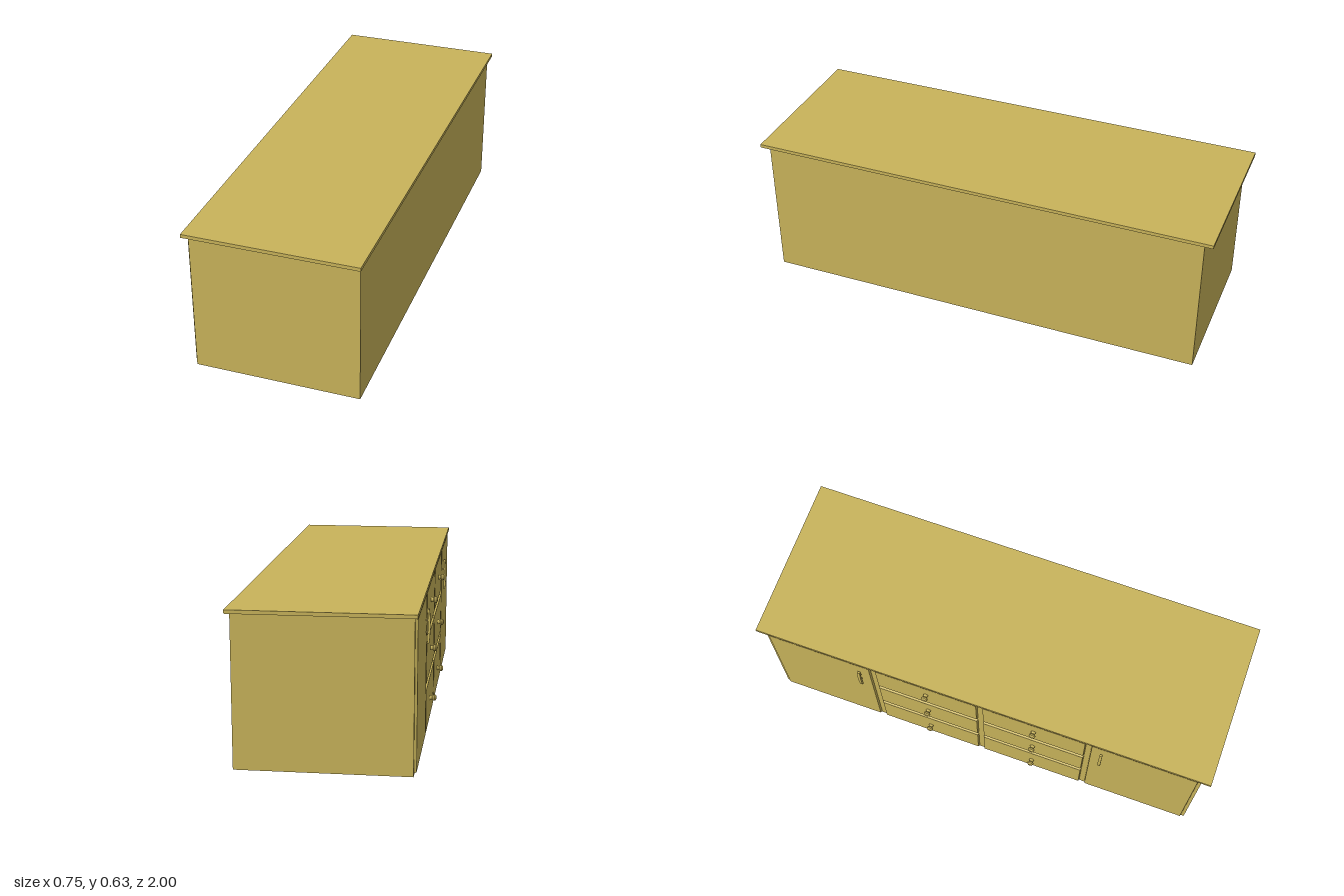
import * as THREE from 'three';

const material = new THREE.MeshStandardMaterial({ color: 0xc8b35a, side: THREE.DoubleSide, flatShading: true });

function add(parent, name, geometry, x = 0, y = 0, z = 0) {
  const mesh = new THREE.Mesh(geometry, material);
  mesh.name = name;
  mesh.position.set(x, y, z);
  parent.add(mesh);
  return mesh;
}

// Hollow raised panel, open at the back, with a slightly chamfered front
function panelGeometry(w, h, depth, inset) {
  const g = new THREE.BoxGeometry(w, h, depth);
  const p = g.attributes.position;
  for (let i = 0; i < p.count; i++) {
    if (p.getZ(i) > 0) {
      p.setX(i, p.getX(i) - Math.sign(p.getX(i)) * inset);
      p.setY(i, p.getY(i) - Math.sign(p.getY(i)) * inset);
    }
  }
  g.setIndex(Array.from(g.index.array).slice(0, 30));
  g.computeVertexNormals();
  return g.translate(0, 0, depth / 2);
}

// Bowed pull: side profile (outward, up) extruded across its width
function handleGeometry() {
  const s = new THREE.Shape();
  s.moveTo(0.006, -0.07);
  s.lineTo(0.014, -0.07);
  s.quadraticCurveTo(0.023, 0, 0.014, 0.07);
  s.lineTo(0.006, 0.07);
  s.quadraticCurveTo(0.011, 0, 0.006, -0.07);
  const g = new THREE.ExtrudeGeometry(s, { depth: 0.012, bevelEnabled: false, curveSegments: 8 });
  return g.translate(0, 0, -0.006).rotateY(-Math.PI / 2);
}

export function createModel() {
  const model = new THREE.Group();
  model.name = 'sideboard';
  const cabinet = new THREE.Group();
  cabinet.name = 'cabinet';
  cabinet.position.x = 0.009;
  cabinet.rotation.y = 0.0063;
  model.add(cabinet);

  const H = 0.617, halfDepth = 0.345, halfLength = 0.96, raise = 0.01;

  // Carcass: back and both ends, open below
  const carcass = new THREE.BoxGeometry(halfDepth * 2, H, halfLength * 2);
  const idx = Array.from(carcass.index.array);
  carcass.setIndex([...idx.slice(0, 6), ...idx.slice(24, 36)]);
  add(cabinet, 'carcass', carcass, 0, H / 2, 0);

  // Worktop
  add(cabinet, 'worktop', new THREE.BoxGeometry(0.717, 0.015, 1.995), 0, 0.6245, 0);

  // Drawer side, built facing +z and turned to face -x
  const face = new THREE.Group();
  face.name = 'drawerSide';
  face.position.x = -halfDepth;
  face.rotation.y = -Math.PI / 2;
  cabinet.add(face);

  const frame = new THREE.Shape();
  frame.moveTo(-halfLength, 0);
  frame.lineTo(halfLength, 0);
  frame.lineTo(halfLength, H);
  frame.lineTo(-halfLength, H);
  frame.closePath();

  function addPanel(name, x0, x1, y0, y1) {
    const hole = new THREE.Path();
    hole.moveTo(x0, y0);
    hole.lineTo(x0, y1);
    hole.lineTo(x1, y1);
    hole.lineTo(x1, y0);
    hole.closePath();
    frame.holes.push(hole);
    add(face, name, panelGeometry(x1 - x0, y1 - y0, raise, 0.003), (x0 + x1) / 2, (y0 + y1) / 2, 0);
  }

  const knob = new THREE.LatheGeometry([
    [0.011, 0], [0.009, 0.01], [0.014, 0.015], [0.014, 0.021], [0.009, 0.027], [0, 0.028],
  ].map(([r, y]) => new THREE.Vector2(r, y)), 12).rotateX(Math.PI / 2);
  const handle = handleGeometry();
  const post = new THREE.CylinderGeometry(0.004, 0.004, 0.012, 8).rotateX(Math.PI / 2);
  const rows = [[0.011, 0.197, 0.1], [0.22, 0.4, 0.318], [0.423, 0.606, 0.526]];

  for (const side of [-1, 1]) {
    const span = (a, b) => (side > 0 ? [a, b] : [-b, -a]);

    // Three drawers with knobs
    for (const [y0, y1, knobY] of rows) {
      addPanel('drawerFront', ...span(0.012, 0.466), y0, y1);
      add(face, 'drawerKnob', knob, side * 0.24, knobY, raise);
    }

    // Door with its pull
    addPanel('door', ...span(0.49, 0.946), 0.011, 0.606);
    add(face, 'doorHandle', handle, side * 0.538, 0.483, raise);
    for (const y of [0.458, 0.507]) add(face, 'handlePost', post, side * 0.538, y, raise + 0.005);
  }

  add(face, 'faceFrame', new THREE.ShapeGeometry(frame));
  return model;
}
